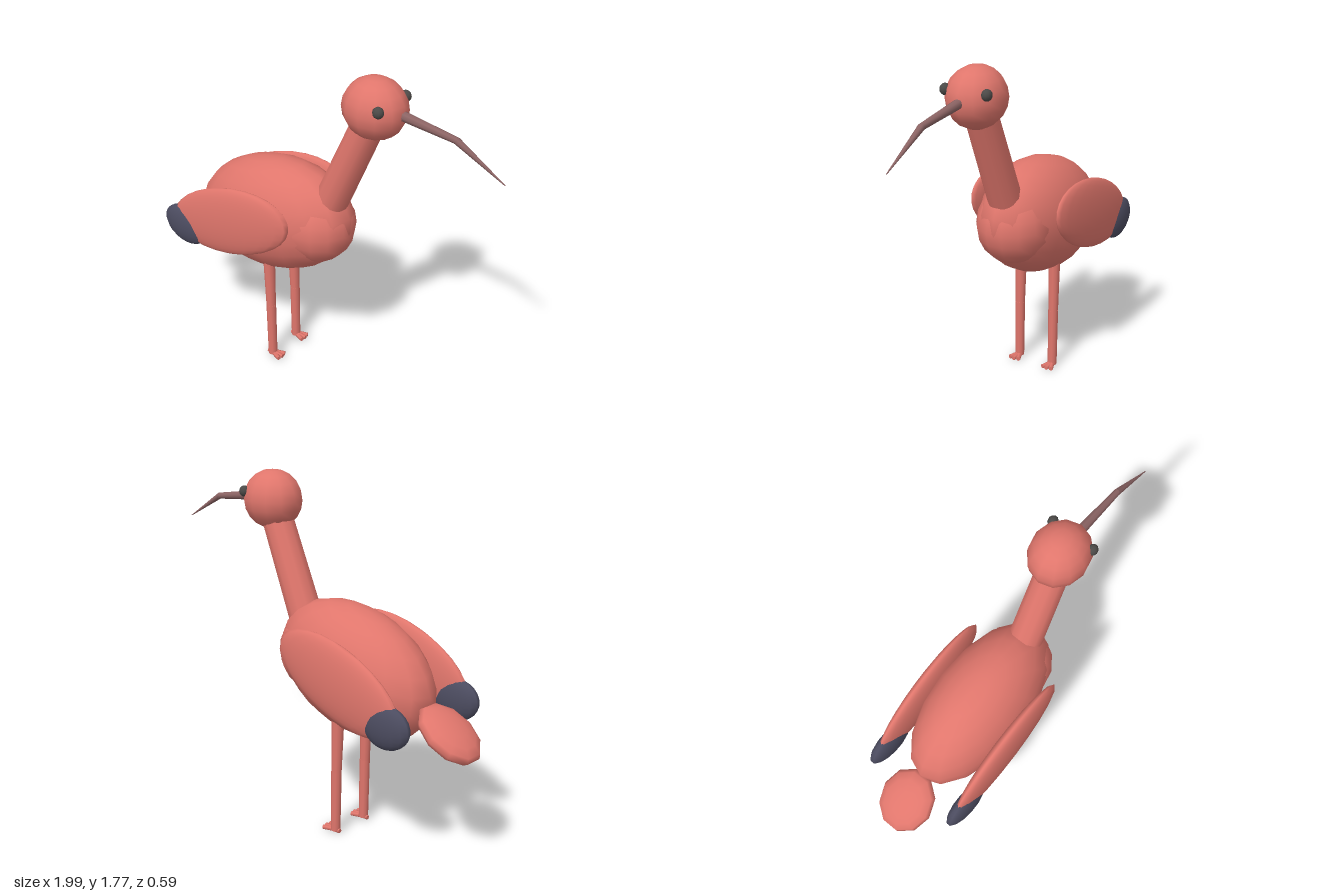
import * as THREE from 'three';

const material = (name, color) => {
  const m = new THREE.MeshStandardMaterial({ color });
  m.name = name;
  return m;
};

export function createModel() {
  const bird = new THREE.Group();
  bird.name = 'wadingBird';
  const plumage = material('coral plumage', 0xe0766c);
  const slate = material('slate wing tip', 0x4c4c60);
  const horn = material('dusky beak', 0x8c6464);
  const dark = material('dark eye', 0x4c4a48);

  const add = (name, geometry, mat) => {
    const mesh = new THREE.Mesh(geometry, mat);
    mesh.name = name;
    bird.add(mesh);
    return mesh;
  };

  // Ellipsoid with radii [x, y, z], tilted nose-up by an angle in the xy plane
  const ellipsoid = (name, centre, radii, tilt, mat, segments = 16, rings = 12) => {
    const geometry = new THREE.SphereGeometry(1, segments, rings);
    geometry.rotateY(Math.PI / 2);
    geometry.scale(...radii);
    const mesh = add(name, geometry, mat);
    mesh.position.set(...centre);
    mesh.rotation.z = tilt;
    return mesh;
  };

  // Tapered round limb between two points
  const limb = (name, from, to, r0, r1, mat, segments = 10) => {
    const a = new THREE.Vector3(...from);
    const dir = new THREE.Vector3(...to).sub(a);
    const mesh = add(name, new THREE.CylinderGeometry(r1, r0, dir.length(), segments), mat);
    mesh.position.copy(a).addScaledVector(dir, 0.5);
    mesh.quaternion.setFromUnitVectors(new THREE.Vector3(0, 1, 0), dir.normalize());
    return mesh;
  };

  // Trunk, chest and tail
  ellipsoid('body', [-0.265, 0.872, 0], [0.475, 0.312, 0.24], 0.24, plumage);
  ellipsoid('chest', [-0.01, 0.9, 0], [0.212, 0.21, 0.195], 0, plumage, 14, 10);
  ellipsoid('tail', [-0.85, 0.7, 0], [0.178, 0.062, 0.145], 0.58, plumage, 10, 8);

  // Neck and head
  limb('neck', [0.09, 1.065, 0], [0.3, 1.55, 0], 0.087, 0.08, plumage, 12);
  ellipsoid('head', [0.325, 1.627, 0], [0.162, 0.15, 0.142], 0, plumage, 12, 10);

  // Down-curved beak
  limb('beakBase', [0.44, 1.632, 0], [0.755, 1.59, 0], 0.025, 0.016, horn, 8);
  limb('beakTip', [0.75, 1.591, 0], [1, 1.452, 0], 0.017, 0.002, horn, 8);

  for (const side of [1, -1]) {
    const label = side > 0 ? 'left' : 'right';
    ellipsoid(label + 'Eye', [0.415, 1.668, side * 0.112], [0.028, 0.028, 0.025], 0, dark, 10, 8);

    // Folded wing with a dark tip
    ellipsoid(label + 'Wing', [-0.375, 0.885, side * 0.25], [0.402, 0.186, 0.047], 0.318, plumage, 20, 14);
    ellipsoid(label + 'WingTip', [-0.685, 0.755, side * 0.25], [0.14, 0.107, 0.045], -0.2, slate, 14, 12);

    // Leg and foot
    const z = side * 0.104;
    limb(label + 'Thigh', [-0.235, 0.32, z], [-0.242, 0.64, z * 0.98], 0.026, 0.032, plumage);
    limb(label + 'Shin', [-0.232, 0.012, z], [-0.235, 0.34, z], 0.025, 0.027, plumage);
    for (const spread of [-0.4, 0, 0.4]) {
      const x = -0.232 + 0.068 * Math.cos(spread);
      limb(label + 'Toe', [-0.235, 0.016, z], [x, 0.014, z + 0.068 * Math.sin(spread)], 0.014, 0.012, plumage, 6);
    }
    limb(label + 'BackToe', [-0.235, 0.016, z], [-0.262, 0.014, z], 0.014, 0.012, plumage, 6);
  }

  return bird;
}
